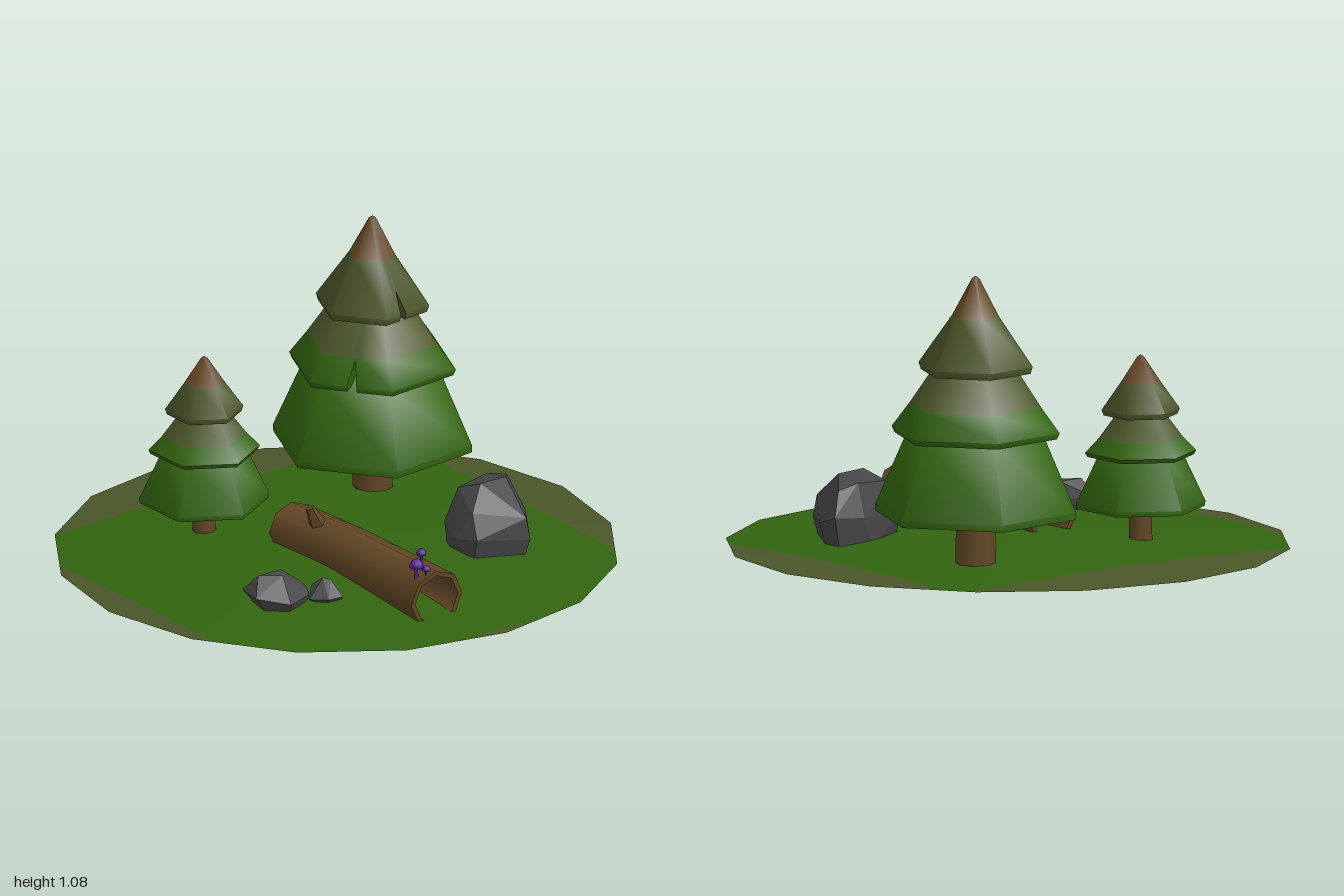
import * as THREE from 'three';
import { toCreasedNormals } from 'three/addons/utils/BufferGeometryUtils.js';
import { ConvexGeometry } from 'three/addons/geometries/ConvexGeometry.js';

const V = (x, y, z) => new THREE.Vector3(x, y, z);

function material(name, color, side = THREE.FrontSide) {
  const m = new THREE.MeshStandardMaterial({ color, side });
  m.name = name;
  return m;
}

const grass = material('leaf green', 0x32640f, THREE.DoubleSide);
const olive = material('dry olive', 0x4b5629, THREE.DoubleSide);
const bark = material('bark brown', 0x614624, THREE.DoubleSide);
const rust = material('tree tip brown', 0x644726);
const stone = material('stone grey', 0x47474a);
const purple = material('mushroom purple', 0x56209a);

function mesh(name, geometry, mat, parent) {
  const m = new THREE.Mesh(geometry, mat);
  m.name = name;
  parent.add(m);
  return m;
}

function fromPoints(points) {
  return new THREE.BufferGeometry().setFromPoints(points);
}

// Skin a list of closed rings; bands[j] is the material index between ring j and j+1
function loft(rings, bands) {
  const pts = [];
  const groups = [];
  for (let j = 0; j < rings.length - 1; j++) {
    const start = pts.length;
    const n = rings[j].length;
    for (let i = 0; i < n; i++) {
      const k = (i + 1) % n;
      const [a, b, c, d] = [rings[j][i], rings[j][k], rings[j + 1][i], rings[j + 1][k]];
      pts.push(a, b, c, b, d, c);
    }
    groups.push([start, pts.length - start, bands ? bands[j] : 0]);
  }
  const g = fromPoints(pts);
  if (bands) groups.forEach((x) => g.addGroup(...x));
  return toCreasedNormals(g, 1.1);
}

// Six-sided foliage tier from [radius, y] rows; notch = a split in one side of the skirt
function tier(rows, turn, bands, notch) {
  const corner = (i) => [Math.cos(turn + i * Math.PI / 3), Math.sin(turn + i * Math.PI / 3)];
  const columns = [];
  for (let i = 0; i < 6; i++) {
    const a = corner(i);
    const b = corner(i + 1);
    columns.push({ dir: a });
    if (notch && notch.side === i) {
      for (const off of [-0.06, 0, 0.06]) {
        const t = notch.at + off;
        columns.push({ dir: [a[0] + (b[0] - a[0]) * t, a[1] + (b[1] - a[1]) * t], cut: off === 0 });
      }
    }
  }
  const rings = rows.map(([r0, y0], j) => columns.map(({ dir, cut }) => {
    const lifted = cut && j >= rows.length - 4;
    const r = lifted ? Math.min(r0, notch.r) : r0;
    const y = lifted ? Math.max(y0, notch.y) : y0;
    return V(dir[0] * r, y, dir[1] * r);
  }));
  return loft(rings, bands);
}

function tree(name, x, z, turn, trunk, tiers, parent) {
  const g = new THREE.Group();
  g.name = name;
  g.position.set(x, 0, z);
  tiers.forEach((t, i) => {
    mesh(`foliageTier${i + 1}`, tier(t.rows, turn, t.bands, t.notch), [grass, olive, rust], g);
  });
  const h = trunk.top - trunk.bottom;
  const geo = toCreasedNormals(new THREE.CylinderGeometry(trunk.r * 0.9, trunk.r, h, 8), 1.1);
  mesh('trunk', geo, bark, g).position.y = trunk.bottom + h / 2;
  parent.add(g);
}

// Shallow domed disc, cut along straight lines into grass and dry border
function ground(parent) {
  const rows = [[0, 0.075], [0.45, 0.056], [1, 0.02]];
  const at = (j, i) => {
    const a = i * Math.PI / 8;
    return V(rows[j][0] * Math.cos(a), rows[j][1], rows[j][0] * Math.sin(a));
  };
  let inside = [];
  const outside = [];
  for (let i = 0; i < 16; i++) {
    inside.push([at(0, i), at(1, i + 1), at(1, i)], [at(1, i), at(1, i + 1), at(2, i + 1), at(2, i)]);
  }
  const split = (poly, dist) => {
    const keep = [];
    const drop = [];
    poly.forEach((p, i) => {
      const q = poly[(i + 1) % poly.length];
      const [dp, dq] = [dist(p), dist(q)];
      (dp >= 0 ? keep : drop).push(p);
      if (dp * dq < 0) {
        const m = p.clone().lerp(q, dp / (dp - dq));
        keep.push(m);
        drop.push(m);
      }
    });
    return [keep, drop];
  };
  const edges = [(p) => p.x + 0.878, (p) => 0.777 - p.x, (p) => p.z + 0.7, (p) => 0.965 - p.z];
  for (const edge of edges) {
    const next = [];
    for (const poly of inside) {
      const [keep, drop] = split(poly, edge);
      if (keep.length > 2) next.push(keep);
      if (drop.length > 2) outside.push(drop);
    }
    inside = next;
  }
  const build = (polys) => {
    const pts = [];
    for (const p of polys) for (let i = 1; i < p.length - 1; i++) pts.push(p[0], p[i], p[i + 1]);
    const g = fromPoints(pts);
    g.computeVertexNormals();
    return g;
  };
  mesh('grassGround', build(inside), grass, parent);
  mesh('dryGroundBorder', build(outside), olive, parent);
}

// Hollow bowed log with a branch stub
function log(parent) {
  const g = new THREE.Group();
  g.name = 'hollowLog';
  const path = [[-0.1, -0.12, 0.103, 0.1], [0.2, -0.104, 0.102, 0.102], [0.45, -0.113, 0.1, 0.107], [0.755, -0.125, 0.1, 0.112]];
  const ring = ([z, cx, cy, r], inset) => Array.from({ length: 8 }, (_, i) => {
    const a = i * Math.PI / 4;
    return V(cx + (r - inset) * Math.cos(a), cy + (r - inset) * 0.93 * Math.sin(a), z);
  });
  const outer = path.map((p) => ring(p, 0));
  const inner = path.map((p) => ring(p, 0.018)).reverse();
  mesh('logShell', loft([...outer, ...inner, outer[0]]), bark, g);
  const stub = mesh('branchStub', new THREE.CylinderGeometry(0.016, 0.034, 0.09, 5).toNonIndexed(), bark, g);
  stub.geometry.computeVertexNormals();
  stub.position.set(-0.162, 0.208, 0.088);
  stub.rotation.z = 0.45;
  parent.add(g);
}

function rock(name, points, parent) {
  mesh(name, new ConvexGeometry(points.map((p) => V(...p))), stone, parent);
}

function mushroom(x, z, top, r, parent) {
  const g = new THREE.Group();
  g.name = 'mushroom';
  g.position.set(x, 0, z);
  const h = top - 0.18;
  mesh('mushroomStem', new THREE.CylinderGeometry(r * 0.2, r * 0.25, h, 6), purple, g).position.y = 0.175 + h / 2;
  const cap = mesh('mushroomCap', new THREE.LatheGeometry([[0.2, -0.1], [1, -0.15], [0.8, 0.5], [0.4, 0.9], [0, 1]]
    .map(([a, b]) => new THREE.Vector2(a * r, b * r)), 9), purple, g);
  cap.position.y = top - r;
  parent.add(g);
}

export function createModel() {
  const root = new THREE.Group();
  root.name = 'forestClearing';
  ground(root);

  tree('largeTree', 0.425, -0.35, -0.115, { r: 0.073, bottom: 0, top: 0.4 }, [
    { rows: [[0, 1.072], [0.014, 1.062], [0.085, 0.93], [0.208, 0.755], [0.2, 0.73], [0.15, 0.735], [0.1, 0.76]],
      bands: [2, 2, 1, 1, 1, 1], notch: { side: 1, at: 0.6, r: 0.155, y: 0.83 } },
    { rows: [[0.1, 0.78], [0.155, 0.735], [0.24, 0.61], [0.306, 0.522], [0.296, 0.5], [0.24, 0.505], [0.15, 0.54]],
      bands: [1, 1, 0, 0, 0, 0], notch: { side: 2, at: 0.5, r: 0.246, y: 0.6 } },
    { rows: [[0.15, 0.56], [0.25, 0.505], [0.366, 0.24], [0.364, 0.215], [0.32, 0.22], [0.05, 0.32]],
      bands: [0, 0, 0, 0, 0] },
  ], root);

  tree('smallTree', -0.31, -0.36, Math.PI / 6, { r: 0.042, bottom: 0.03, top: 0.25 }, [
    { rows: [[0, 0.712], [0.012, 0.704], [0.07, 0.615], [0.139, 0.517], [0.132, 0.497], [0.1, 0.5], [0.06, 0.52]],
      bands: [2, 2, 1, 1, 1, 1] },
    { rows: [[0.06, 0.53], [0.088, 0.498], [0.15, 0.415], [0.198, 0.365], [0.19, 0.35], [0.15, 0.355], [0.1, 0.38]],
      bands: [1, 1, 0, 0, 0, 0] },
    { rows: [[0.1, 0.39], [0.152, 0.352], [0.231, 0.183], [0.228, 0.165], [0.2, 0.168], [0.03, 0.23]],
      bands: [0, 0, 0, 0, 0] },
  ], root);

  log(root);
  mushroom(-0.182, 0.712, 0.252, 0.027, root);
  mushroom(-0.155, 0.733, 0.228, 0.017, root);
  mushroom(-0.103, 0.635, 0.248, 0.02, root);

  rock('largeRock', [
    [0.29, 0.03, 0.27], [0.29, 0.03, 0.42], [0.47, 0.03, 0.48], [0.58, 0.03, 0.3], [0.59, 0.03, 0.21], [0.45, 0.03, 0.2],
    [0.26, 0.11, 0.35], [0.3, 0.13, 0.235], [0.5, 0.14, 0.185], [0.62, 0.15, 0.2], [0.61, 0.12, 0.3], [0.48, 0.1, 0.5],
    [0.29, 0.12, 0.44], [0.3, 0.21, 0.4], [0.47, 0.18, 0.49], [0.38, 0.285, 0.34], [0.5, 0.28, 0.33], [0.58, 0.24, 0.23],
    [0.35, 0.25, 0.25], [0.5, 0.26, 0.22]], root);
  rock('mediumRock', [
    [-0.56, 0.025, 0.28], [-0.58, 0.03, 0.36], [-0.52, 0.02, 0.41], [-0.43, 0.015, 0.38], [-0.42, 0.02, 0.33],
    [-0.58, 0.09, 0.24], [-0.6, 0.09, 0.25], [-0.385, 0.08, 0.335], [-0.41, 0.07, 0.39], [-0.525, 0.07, 0.435],
    [-0.62, 0.09, 0.355], [-0.57, 0.15, 0.3], [-0.47, 0.15, 0.3], [-0.5, 0.15, 0.35], [-0.42, 0.11, 0.35]], root);
  rock('smallRock', [
    [-0.38, 0.03, 0.36], [-0.32, 0.03, 0.36], [-0.32, 0.03, 0.44], [-0.38, 0.03, 0.43], [-0.315, 0.08, 0.335],
    [-0.3, 0.07, 0.395], [-0.315, 0.06, 0.46], [-0.375, 0.06, 0.455], [-0.42, 0.055, 0.4], [-0.365, 0.08, 0.34],
    [-0.345, 0.115, 0.38], [-0.325, 0.11, 0.4]], root);

  return root;
}
